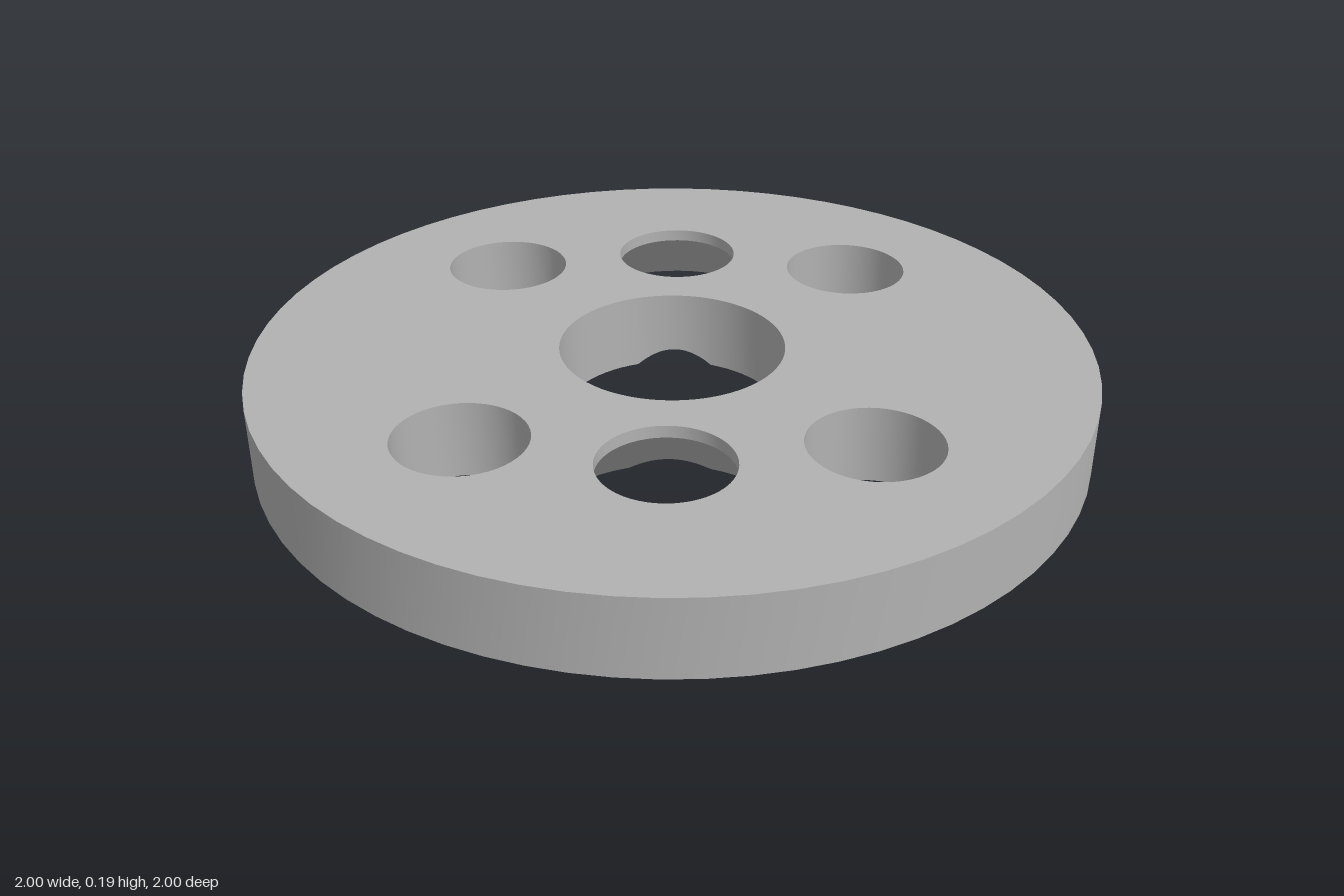
import * as THREE from 'three';

const H = 0.19;                       // disc thickness
const BORE = 0.27;                    // central bore radius
const HOLE = 0.153;                   // bolt hole radius
const SINK = 0.297, SINK_H = 0.16;    // countersink rim radius and depth
const DIST = 0.535;                   // countersink distance from the axis
const SINK_DIRS = [Math.PI / 4, Math.PI * 5 / 4];
const PI = Math.PI;

// half angles at which the countersink rim crosses the bore
const A = Math.acos((BORE ** 2 + DIST ** 2 - SINK ** 2) / (2 * BORE * DIST));
const B = Math.acos((SINK ** 2 + DIST ** 2 - BORE ** 2) / (2 * SINK * DIST));

// n angles from a up to, but not including, b
const span = (a, b, n) => Array.from({ length: n }, (_, i) => a + (b - a) * i / n);
const at = (cx, cz, r, a) => new THREE.Vector2(cx + r * Math.cos(a), cz + r * Math.sin(a));
const circle = (cx, cz, r, angles) => angles.map(a => at(cx, cz, r, a));

// closed band between two rings; each ring function gives [x, y, z] at an angle
function band(angles, lower, upper, inward) {
  const pos = [], index = [], n = angles.length;
  angles.forEach(a => pos.push(...lower(a), ...upper(a)));
  for (let i = 0; i < n; i++) {
    const l = 2 * i, u = l + 1, l2 = 2 * ((i + 1) % n), u2 = l2 + 1;
    if (inward) index.push(l, l2, u, u, l2, u2);
    else index.push(l, u, l2, u, u2, l2);
  }
  const g = new THREE.BufferGeometry();
  g.setAttribute('position', new THREE.Float32BufferAttribute(pos, 3));
  g.setIndex(index);
  g.computeVertexNormals();
  return g;
}

const ring = (cx, cz, r, y) => a => [cx + r * Math.cos(a), y, cz + r * Math.sin(a)];

function face(outline, holes) {
  const shape = new THREE.Shape(outline);
  holes.forEach(h => shape.holes.push(new THREE.Path(h)));
  return new THREE.ShapeGeometry(shape);
}

export function createModel() {
  const group = new THREE.Group();
  group.name = 'flangeDisc';
  const metal = new THREE.MeshStandardMaterial({ color: 0xb2b2b2 });
  metal.name = 'grey metal';
  const add = (name, geometry) => {
    const mesh = new THREE.Mesh(geometry, metal);
    mesh.name = name;
    group.add(mesh);
  };

  const rimAngles = span(0, 2 * PI, 72);
  const holeAngles = span(0, 2 * PI, 48);
  const boltCentres = [[0.63, 0], [0, 0.63], [-0.63, 0], [0, -0.63]];
  const sinks = SINK_DIRS.map(d => ({ d, x: DIST * Math.cos(d), z: DIST * Math.sin(d) }));

  // outer rim
  add('outerRim', band(rimAngles, ring(0, 0, 1, 0), ring(0, 0, 1, H), false));

  // straight bolt holes
  boltCentres.forEach(([x, z]) =>
    add('boltHole', band(holeAngles, ring(x, z, HOLE, 0), ring(x, z, HOLE, H), true)));

  // central bore, its lower edge notched where the countersinks break through
  const boreAngles = SINK_DIRS.flatMap(d => [...span(d - A, d + A, 16), ...span(d + A, d + PI - A, 28)]);
  const boreBottom = a => {
    const p = at(0, 0, BORE, a);
    const near = Math.min(...sinks.map(s => Math.hypot(p.x - s.x, p.y - s.z)));
    return [p.x, Math.max(0, SINK_H * (SINK - near) / (SINK - HOLE)), p.y];
  };
  add('centralBore', band(boreAngles, boreBottom, ring(0, 0, BORE, H), true));

  // countersunk holes: cone trimmed by the bore, then a short straight lip
  const sinkAngles = d => [...span(d + PI - B, d + PI + B, 16), ...span(d + PI + B, d + 3 * PI - B, 48)];
  sinks.forEach(({ d, x, z }) => {
    const coneRim = a => {
      const g = a - d - PI;
      let r = SINK;
      if (Math.cos(g) > Math.cos(B)) {
        r = DIST * Math.cos(g) - Math.sqrt(BORE ** 2 - (DIST * Math.sin(g)) ** 2);
      }
      return ring(x, z, r, SINK_H * (SINK - r) / (SINK - HOLE))(a);
    };
    const angles = sinkAngles(d);
    add('countersinkCone', band(angles, coneRim, ring(x, z, HOLE, SINK_H), true));
    add('countersinkLip', band(angles, ring(x, z, HOLE, SINK_H), ring(x, z, HOLE, H), true));
  });

  // top face
  const outline = circle(0, 0, 1, rimAngles);
  const boltHoles = boltCentres.map(([x, z]) => circle(x, z, HOLE, holeAngles));
  const top = face(outline, [
    circle(0, 0, BORE, boreAngles),
    ...sinks.map(s => circle(s.x, s.z, HOLE, sinkAngles(s.d))),
    ...boltHoles,
  ]);
  // the quarter turn puts the diagonal holes back over their countersinks
  add('topFace', top.rotateX(-PI / 2).rotateY(PI / 2).translate(0, H, 0));

  // bottom face, with bore and both countersinks joined into one opening
  const opening = sinks.flatMap(({ d, x, z }) => [
    ...circle(x, z, SINK, span(d + PI + B, d + 3 * PI - B, 48)),
    ...circle(0, 0, BORE, span(d + A, d + PI - A, 28)),
  ]);
  add('bottomFace', face(outline, [opening, ...boltHoles]).rotateX(PI / 2));

  return group;
}
